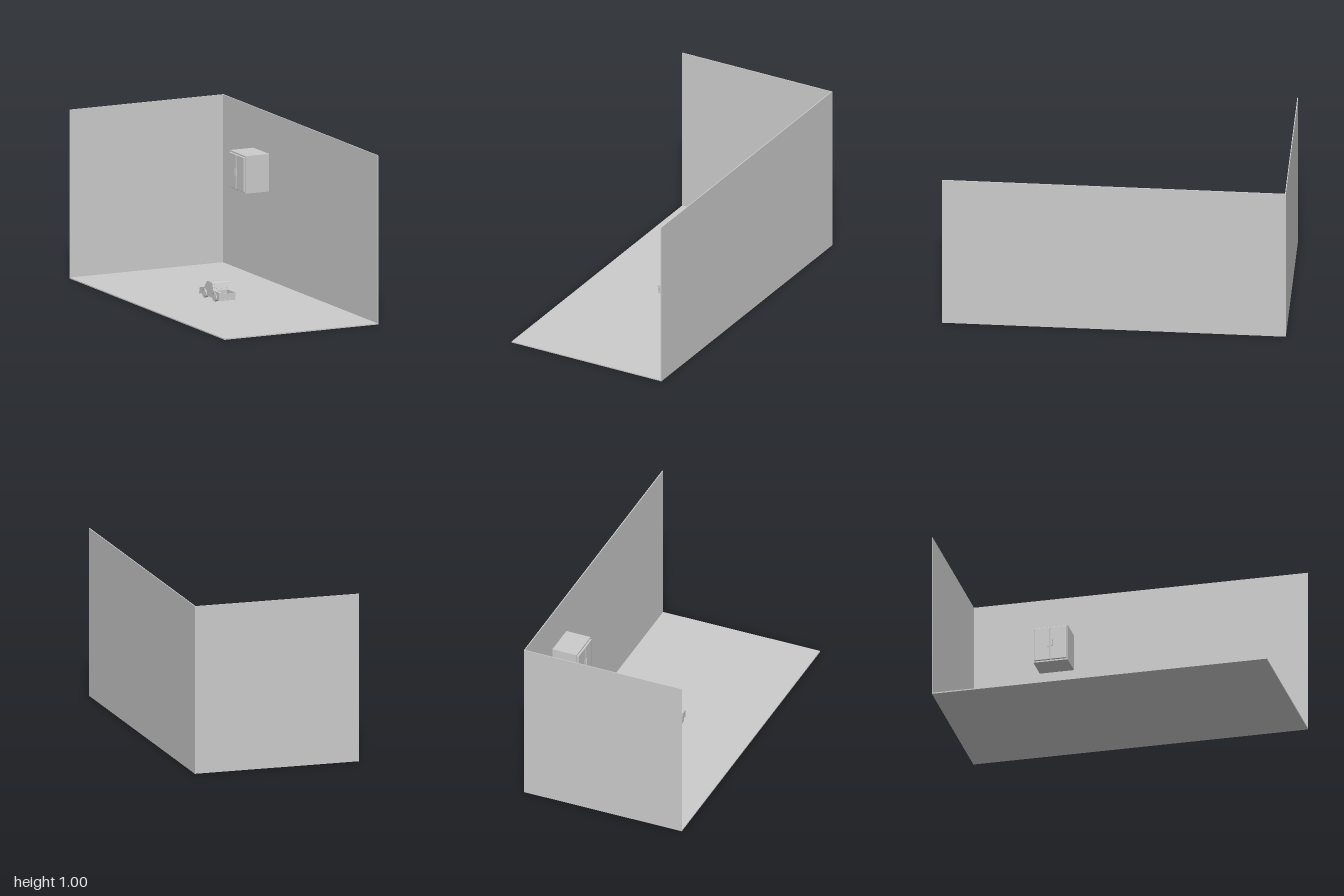
import * as THREE from 'three';
import { RoundedBoxGeometry } from 'three/addons/geometries/RoundedBoxGeometry.js';

const grey = new THREE.MeshStandardMaterial({ color: 0xcccccc, flatShading: true });
const smooth = new THREE.MeshStandardMaterial({ color: 0xcccccc });

function add(parent, name, geometry, x = 0, y = 0, z = 0, material = grey) {
  const mesh = new THREE.Mesh(geometry, material);
  mesh.name = name;
  mesh.position.set(x, y, z);
  parent.add(mesh);
  return mesh;
}

// Box given by its lower and upper limits on each axis
function block(parent, name, [x0, x1], [y0, y1], [z0, z1]) {
  return add(parent, name, new THREE.BoxGeometry(x1 - x0, y1 - y0, z1 - z0),
    (x0 + x1) / 2, (y0 + y1) / 2, (z0 + z1) / 2);
}

// Side outline in [z, y] pairs, extruded across x and centred on x = 0
function sideProfile(points, width, holes = []) {
  const toVector = ([z, y]) => new THREE.Vector2(-z, y);
  const shape = new THREE.Shape(points.map(toVector));
  holes.forEach(h => shape.holes.push(new THREE.Path(h.map(toVector))));
  const geometry = new THREE.ExtrudeGeometry(shape, { depth: width, bevelEnabled: false, curveSegments: 8 });
  return geometry.translate(0, 0, -width / 2).rotateY(Math.PI / 2);
}

function createRoom() {
  const room = new THREE.Group();
  room.name = 'room';
  block(room, 'floor', [-0.5, 0.5], [0, 0.007], [-1, 1]);
  block(room, 'backWall', [-0.5, 0.5], [0, 1], [-1, -0.995]);
  block(room, 'sideWall', [0.494, 0.5], [0, 1], [-1, 1]);
  return room;
}

function createCabinet() {
  const cabinet = new THREE.Group();
  cabinet.name = 'wallCabinet';
  block(cabinet, 'cabinetBody', [0.341, 0.494], [0.534, 0.756], [-0.602, -0.398]);
  // Two door leaves, each with an upright handle by the middle gap
  for (const s of [-1, 1]) {
    add(cabinet, 'cabinetDoor', new RoundedBoxGeometry(0.012, 0.206, 0.094, 2, 0.003), 0.336, 0.645, -0.5 + s * 0.049);
    block(cabinet, 'doorHandle', [0.324, 0.331], [0.624, 0.668], [-0.5 + s * 0.011 - 0.003, -0.5 + s * 0.011 + 0.003]);
  }
  return cabinet;
}

function createTruck() {
  const truck = new THREE.Group();
  truck.name = 'pickupTruck';
  truck.position.x = -0.008;

  // Lower body with a sloping bonnet towards -z
  add(truck, 'lowerBody', sideProfile([
    [-0.195, 0.022], [-0.198, 0.045], [-0.19, 0.057], [-0.132, 0.066],
    [-0.02, 0.066], [-0.02, 0.042], [0.055, 0.042], [0.055, 0.02],
  ], 0.104));

  // Cab, with window panes slightly proud of it
  add(truck, 'cab', sideProfile([
    [-0.138, 0.064], [-0.102, 0.107], [-0.094, 0.111], [-0.04, 0.111], [-0.033, 0.107], [-0.018, 0.064],
  ], 0.104));
  add(truck, 'sideWindows', sideProfile([
    [-0.122, 0.07], [-0.097, 0.101], [-0.041, 0.101], [-0.031, 0.07],
  ], 0.106));
  const windscreen = add(truck, 'windscreen', new THREE.BoxGeometry(0.092, 0.045, 0.002), 0, 0.086, -0.12);
  windscreen.rotation.x = Math.atan2(0.036, 0.043);
  const rearWindow = add(truck, 'rearWindow', new THREE.BoxGeometry(0.08, 0.028, 0.002), 0, 0.088, -0.0262);
  rearWindow.rotation.x = -Math.atan2(0.015, 0.043);

  // Open load bed
  for (const s of [-1, 1]) {
    const x = s * 0.045;
    block(truck, 'bedSide', [x - 0.008, x + 0.008], [0.022, 0.062], [-0.02, 0.058]);
    block(truck, 'bedRail', [x - 0.009, x + 0.009], [0.061, 0.067], [-0.02, 0.06]);
    // Lamps at both ends
    const lamp = add(truck, 'headlamp', new THREE.CylinderGeometry(0.006, 0.006, 0.004, 12), s * 0.042, 0.043, -0.197);
    lamp.rotation.x = Math.PI / 2;
    block(truck, 'tailLamp', [x - 0.005, x + 0.005], [0.04, 0.052], [0.057, 0.06]);
  }
  block(truck, 'tailgate', [-0.038, 0.038], [0.025, 0.057], [0.05, 0.056]);
  block(truck, 'rearBumper', [-0.052, 0.052], [0.018, 0.026], [0.05, 0.061]);
  block(truck, 'frontBumper', [-0.052, 0.052], [0.018, 0.028], [-0.202, -0.19]);
  block(truck, 'grille', [-0.032, 0.032], [0.035, 0.047], [-0.2, -0.19]);

  // Wheels with hubs and arches
  const arch = new THREE.Shape();
  arch.absarc(0, 0, 0.029, 0, Math.PI, false);
  arch.absarc(0, 0, 0.025, Math.PI, 0, true);
  const archGeometry = new THREE.ExtrudeGeometry(arch, { depth: 0.012, bevelEnabled: false, curveSegments: 12 })
    .translate(0, 0, -0.006).rotateY(Math.PI / 2);
  const tyreGeometry = new THREE.CylinderGeometry(0.0235, 0.0235, 0.018, 20).rotateZ(Math.PI / 2);
  const hubGeometry = new THREE.CylinderGeometry(0.012, 0.012, 0.02, 16).rotateZ(Math.PI / 2);
  for (const z of [-0.128, 0.002]) {
    for (const s of [-1, 1]) {
      add(truck, 'wheel', tyreGeometry, s * 0.049, 0.0305, z, smooth);
      add(truck, 'wheelHub', hubGeometry, s * 0.049, 0.0305, z, smooth);
      add(truck, 'wheelArch', archGeometry, s * 0.053, 0.0305, z);
    }
  }
  return truck;
}

export function createModel() {
  const model = new THREE.Group();
  model.name = 'roomWithTruck';
  model.add(createRoom(), createCabinet(), createTruck());
  return model;
}
